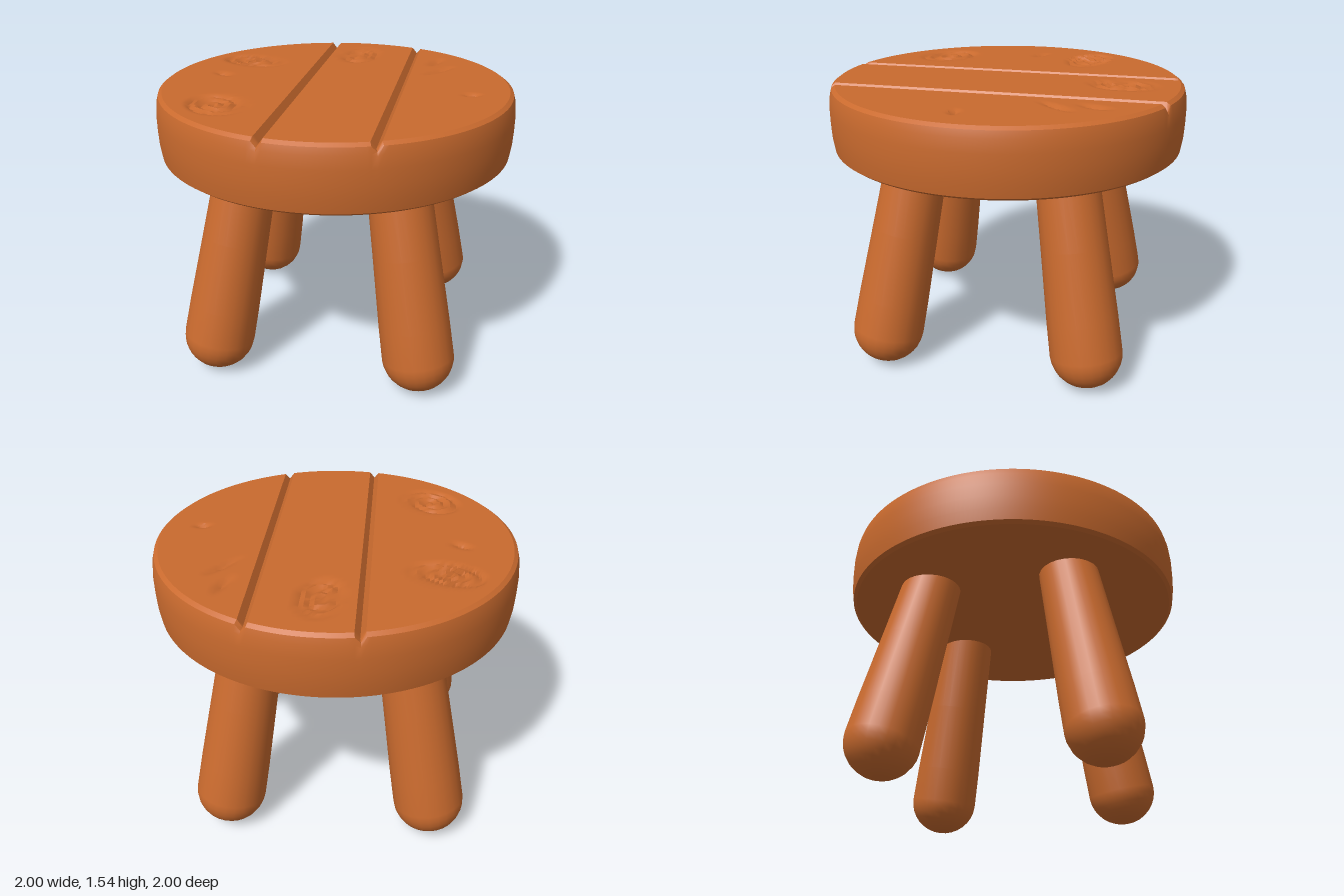
import * as THREE from 'three';
import { toCreasedNormals } from 'three/addons/utils/BufferGeometryUtils.js';

const wood = new THREE.MeshStandardMaterial({ color: 0xc96a2e });
wood.name = 'orange wood';

// Seat axes in the ground plane: "across" crosses the planks, "along" follows them
const ANGLE = 0.75;
const across = [Math.cos(ANGLE), Math.sin(ANGLE)];
const along = [Math.sin(ANGLE), -Math.cos(ANGLE)];

const RADIUS = 0.983;
const TOP_R = 0.945;
const GROOVES = [-0.176, 0.357];
const GROOVE_W = 0.026;
const GROOVE_D = 0.035;

// Carved knots: centre x, z, long radius, short radius, direction of the long axis
const KNOTS = [
  [-0.72, 0.0, 0.2, 0.16, 1.57],
  [-0.17, -0.68, 0.22, 0.13, 1.05],
  [0.45, -0.45, 0.2, 0.13, -0.8],
];
// Short gouges: centre x, z, half length, half width, direction
const GOUGES = [
  [0.75, -0.06, 0.11, 0.035, -0.5],
  [0.65, 0.1, 0.14, 0.03, -0.15],
  [0.49, 0.57, 0.06, 0.03, 0.8],
  [-0.45, -0.5, 0.08, 0.03, 1.3],
];

// Distance from a mark's centre, 1 at its edge
function ellipse([cx, cz, a, b, dir], x, z) {
  const c = Math.cos(dir), s = Math.sin(dir);
  const u = (x - cx) * c + (z - cz) * s;
  const v = (z - cz) * c - (x - cx) * s;
  return [Math.hypot(u / a, v / b), Math.atan2(v / b, u / a)];
}

function grooveDip(s) {
  let dip = 0;
  for (const g of GROOVES) dip += Math.max(0, 1 - Math.abs(s - g) / GROOVE_W) * GROOVE_D;
  return dip;
}

// Depth of knots and gouges on the top face
function carving(x, z) {
  let h = 0;
  for (const k of KNOTS) {
    const [d, a] = ellipse(k, x, z);
    if (d < 1) h -= 0.008 * (1 - Math.cos(d * 17 + a)) * Math.min(1, (1 - d) * 5);
  }
  for (const g of GOUGES) {
    const [d] = ellipse(g, x, z);
    if (d < 1) h -= 0.022 * (1 - d);
  }
  return h;
}

// Round seat lofted from slices that run along the planks
function seatGeometry() {
  const rim = [[0.95, 1.185], [0.97, 1.2], [0.98, 1.27], [0.983, 1.34], [0.983, 1.42],
    [0.976, 1.49], [0.966, 1.525], [TOP_R, 1.54]];
  const COLS = 72;
  const BASE = 8;

  // Slice angles: even steps, with exact slices at the groove edges and floors
  let angles = [];
  for (let i = 0; i <= 120; i++) angles.push(-Math.PI / 2 + (Math.PI * i) / 120);
  angles = angles.filter((a) => GROOVES.every((g) => Math.abs(TOP_R * Math.sin(a) - g) > GROOVE_W * 1.3));
  for (const g of GROOVES) {
    for (const o of [-GROOVE_W, 0, GROOVE_W]) angles.push(Math.asin((g + o) / TOP_R));
  }
  angles.sort((a, b) => a - b);

  const pos = [];
  let n = 0;
  for (const a of angles) {
    const start = pos.length;
    const add = (r, f, y, top) => {
      const s = r * Math.sin(a), t = r * Math.cos(a) * f;
      const x = s * across[0] + t * along[0];
      const z = s * across[1] + t * along[1];
      const dip = y > 1.48 ? grooveDip(TOP_R * Math.sin(a)) * Math.min(1, (y - 1.46) / 0.08) : 0;
      pos.push(x, y - dip + (top ? carving(x, z) : 0), z);
    };
    for (let j = 1; j < BASE; j++) add(rim[0][0], -1 + (2 * j) / BASE, 1.185);
    for (const [r, y] of rim) add(r, 1, y);
    for (let j = 1; j < COLS; j++) add(TOP_R, 1 - (2 * j) / COLS, 1.54, true);
    for (const [r, y] of [...rim].reverse()) add(r, -1, y);
    n = (pos.length - start) / 3;
  }

  const index = [];
  for (let i = 0; i < angles.length - 1; i++) {
    for (let j = 0; j < n; j++) {
      const k = (j + 1) % n;
      const p = i * n + j, q = i * n + k, r = p + n, s = q + n;
      index.push(p, q, r, q, s, r);
    }
  }
  const geo = new THREE.BufferGeometry();
  geo.setAttribute('position', new THREE.Float32BufferAttribute(pos, 3));
  geo.setIndex(index);
  return toCreasedNormals(geo, 0.6);
}

// Tapered leg with a rounded foot, origin at the centre of the foot
function legGeometry() {
  const pts = [];
  for (let i = 0; i <= 8; i++) {
    const a = (Math.PI / 2) * (i / 8);
    pts.push(new THREE.Vector2(0.198 * Math.sin(a), -0.192 * Math.cos(a)));
  }
  pts.push(new THREE.Vector2(0.194, 0.2), new THREE.Vector2(0.18, 0.6), new THREE.Vector2(0.165, 1.06));
  return new THREE.LatheGeometry(pts, 24);
}

export function createModel() {
  const stool = new THREE.Group();
  stool.name = 'stool';

  const seat = new THREE.Mesh(seatGeometry(), wood);
  seat.name = 'seat';
  stool.add(seat);

  // Four splayed legs
  const legGeo = legGeometry();
  ['leftLeg', 'backLeg', 'rightLeg', 'frontLeg'].forEach((name, i) => {
    const pivot = new THREE.Group();
    pivot.name = name;
    pivot.rotation.y = (i * Math.PI) / 2 + 0.04;
    const leg = new THREE.Mesh(legGeo, wood);
    leg.name = name + 'Post';
    leg.position.set(0.802, 0.192, 0);
    leg.rotation.z = 0.231;
    pivot.add(leg);
    stool.add(pivot);
  });
  return stool;
}
